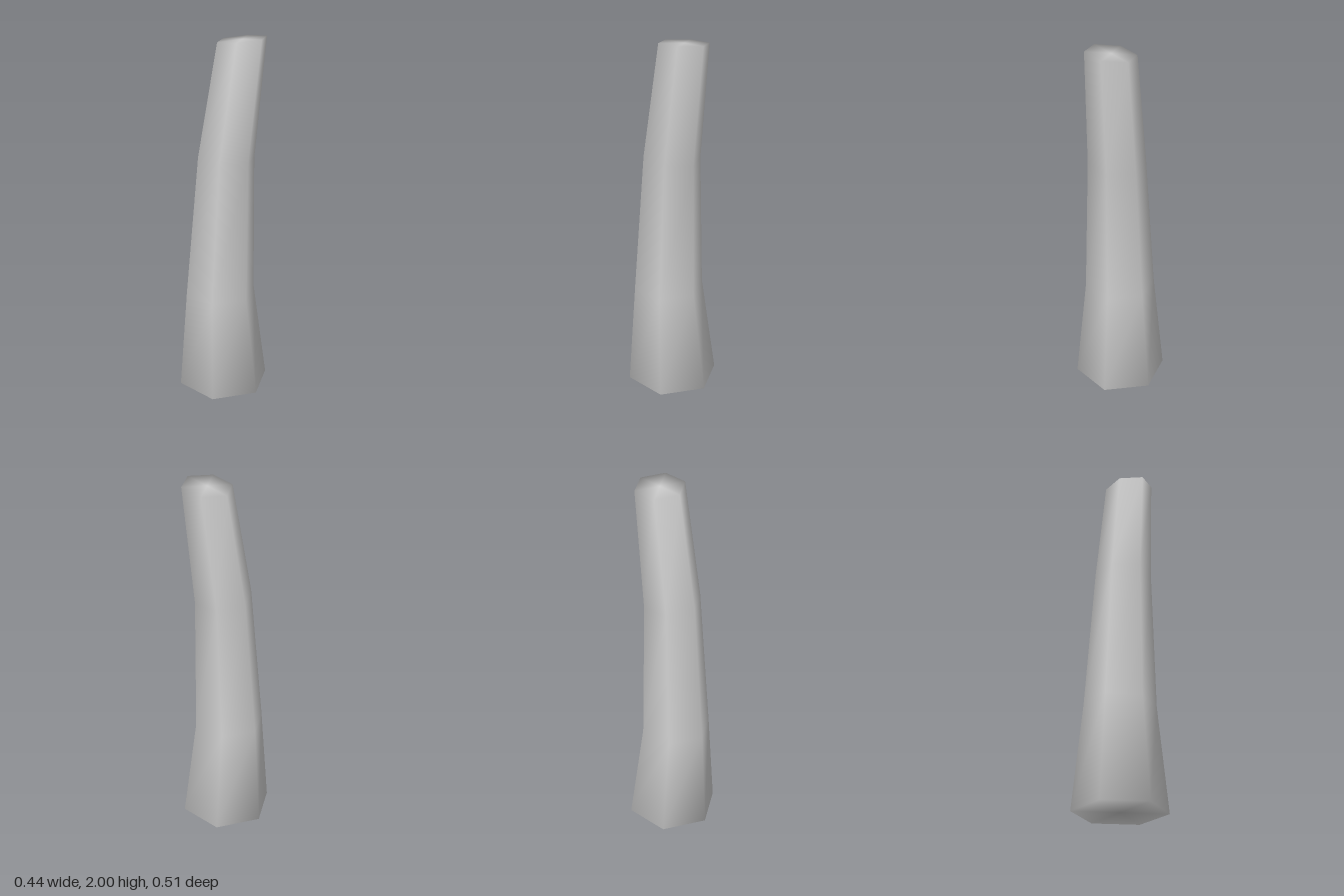
import * as THREE from 'three';

const SIDES = 6;

// Hexagonal cross-sections from base to tip: centre, radius, slope of the ring in x and z
const rings = [
  { x: 0, y: 0, z: 0, r: 0.254, sx: 0, sz: 0 },
  { x: -0.022, y: 0.57, z: -0.002, r: 0.194, sx: 0, sz: 0 },
  { x: 0.004, y: 1.35, z: 0.018, r: 0.156, sx: -0.12, sz: 0 },
  { x: 0.077, y: 1.983, z: 0.059, r: 0.134, sx: 0, sz: 0.13 },
];

// Closed loft with shared vertices, so that walls and caps shade as one smooth surface
function loft(sections) {
  const positions = [];
  const index = [];
  for (const s of sections) {
    for (let j = 0; j < SIDES; j++) {
      const a = (j / SIDES) * Math.PI * 2;
      const dx = s.r * Math.sin(a);
      const dz = s.r * Math.cos(a);
      positions.push(s.x + dx, s.y + s.sx * dx + s.sz * dz, s.z + dz);
    }
  }
  const first = sections[0];
  const last = sections[sections.length - 1];
  const bottom = sections.length * SIDES;
  const top = bottom + 1;
  positions.push(first.x, first.y, first.z, last.x, last.y, last.z);

  for (let j = 0; j < SIDES; j++) {
    const k = (j + 1) % SIDES;
    // Walls
    for (let i = 0; i < sections.length - 1; i++) {
      const lo = i * SIDES;
      const hi = lo + SIDES;
      index.push(lo + j, lo + k, hi + k, lo + j, hi + k, hi + j);
    }
    // Caps
    const end = (sections.length - 1) * SIDES;
    index.push(bottom, k, j, top, end + j, end + k);
  }

  const geometry = new THREE.BufferGeometry();
  geometry.setAttribute('position', new THREE.Float32BufferAttribute(positions, 3));
  geometry.setIndex(index);
  geometry.computeVertexNormals();
  return geometry;
}

export function createModel() {
  const group = new THREE.Group();
  group.name = 'bentPost';
  const trunk = new THREE.Mesh(loft(rings), new THREE.MeshStandardMaterial({ color: 0xcccccc }));
  trunk.name = 'trunk';
  group.add(trunk);
  return group;
}
